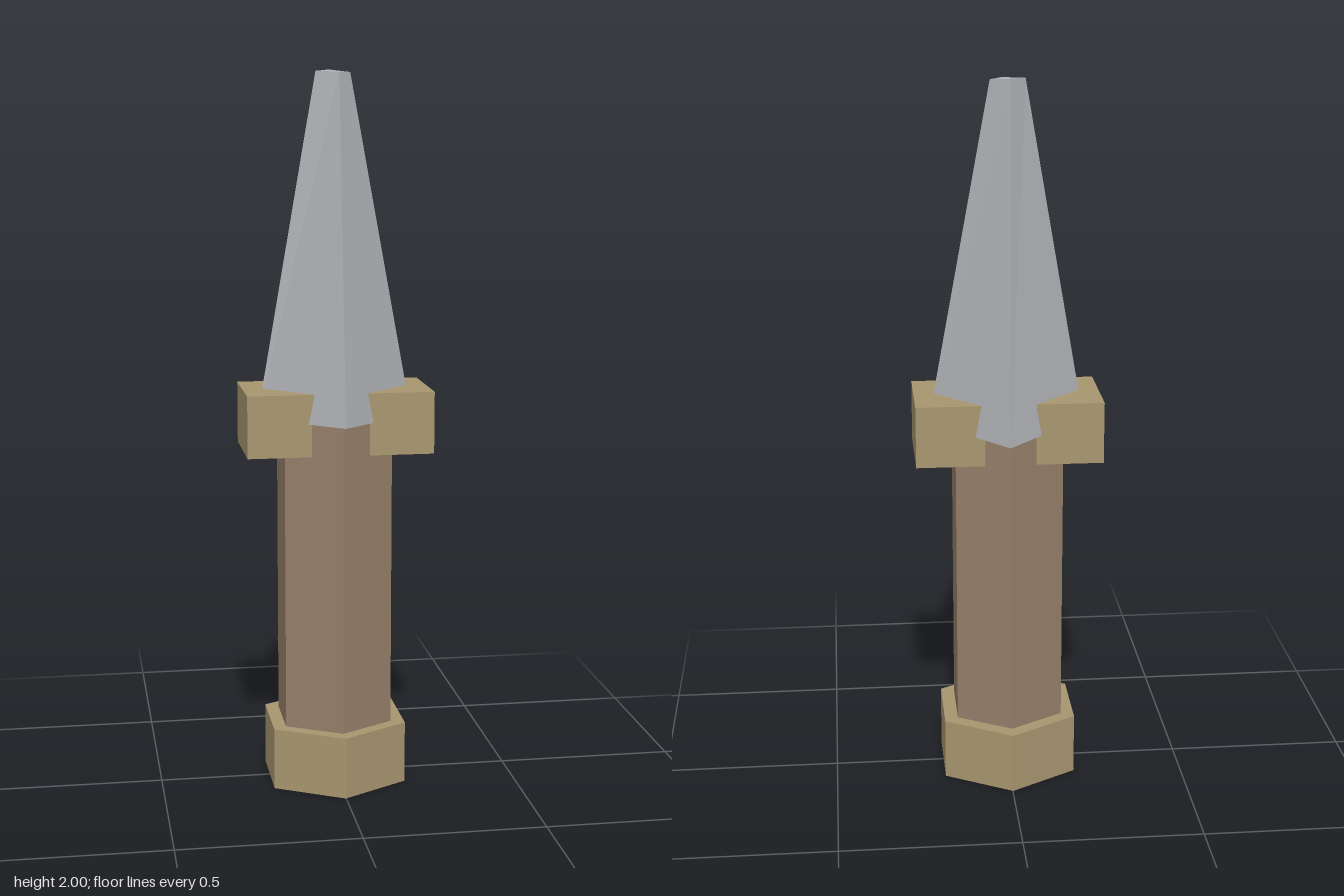
import * as THREE from 'three';

const material = (color) => new THREE.MeshStandardMaterial({ color, flatShading: true });

export function createModel() {
  const group = new THREE.Group();
  const brass = material(0xa8966f);
  const leather = material(0x96806a);
  const steel = material(0xb0b2b6);

  const add = (name, geometry, mat, x, y, z) => {
    const mesh = new THREE.Mesh(geometry, mat);
    mesh.name = name;
    mesh.position.set(x, y, z);
    group.add(mesh);
  };
  const hexPrism = (radius, height) => new THREE.CylinderGeometry(radius, radius, height, 6);

  // Six-sided pommel and grip, corners pointing front and back
  add('pommel', hexPrism(0.216, 0.175), brass, -0.001, 0.0875, 0.003);
  add('grip', hexPrism(0.173, 0.88), leather, -0.002, 0.608, 0.005);

  // Crossguard
  add('crossguard', new THREE.BoxGeometry(0.518, 0.173, 0.259), brass, 0, 1.0435, 0.002);

  // Blade: slightly twisted four-sided taper with a blunt tip
  add('blade', bladeGeometry(), steel, 0, 0, 0);
  return group;
}

function bladeGeometry() {
  // Rings run front, left, back, right
  const bottom = [[-0.002, 1.05, 0.22], [0.218, 1.045, 0.005], [0.008, 1.038, -0.222], [-0.218, 1.045, 0.005]];
  const top = [[0.008, 1.994, 0.037], [0.044, 1.993, 0], [-0.008, 2, -0.047], [-0.052, 1.996, 0.002]];
  const positions = [];
  const quad = (a, b, c, d) => positions.push(...a, ...b, ...c, ...a, ...c, ...d);

  for (let i = 0; i < 4; i++) {
    const j = (i + 1) % 4;
    quad(bottom[i], bottom[j], top[j], top[i]);
  }
  quad(...top);
  quad(...[...bottom].reverse());

  const geometry = new THREE.BufferGeometry();
  geometry.setAttribute('position', new THREE.Float32BufferAttribute(positions, 3));
  geometry.computeVertexNormals();
  return geometry;
}
